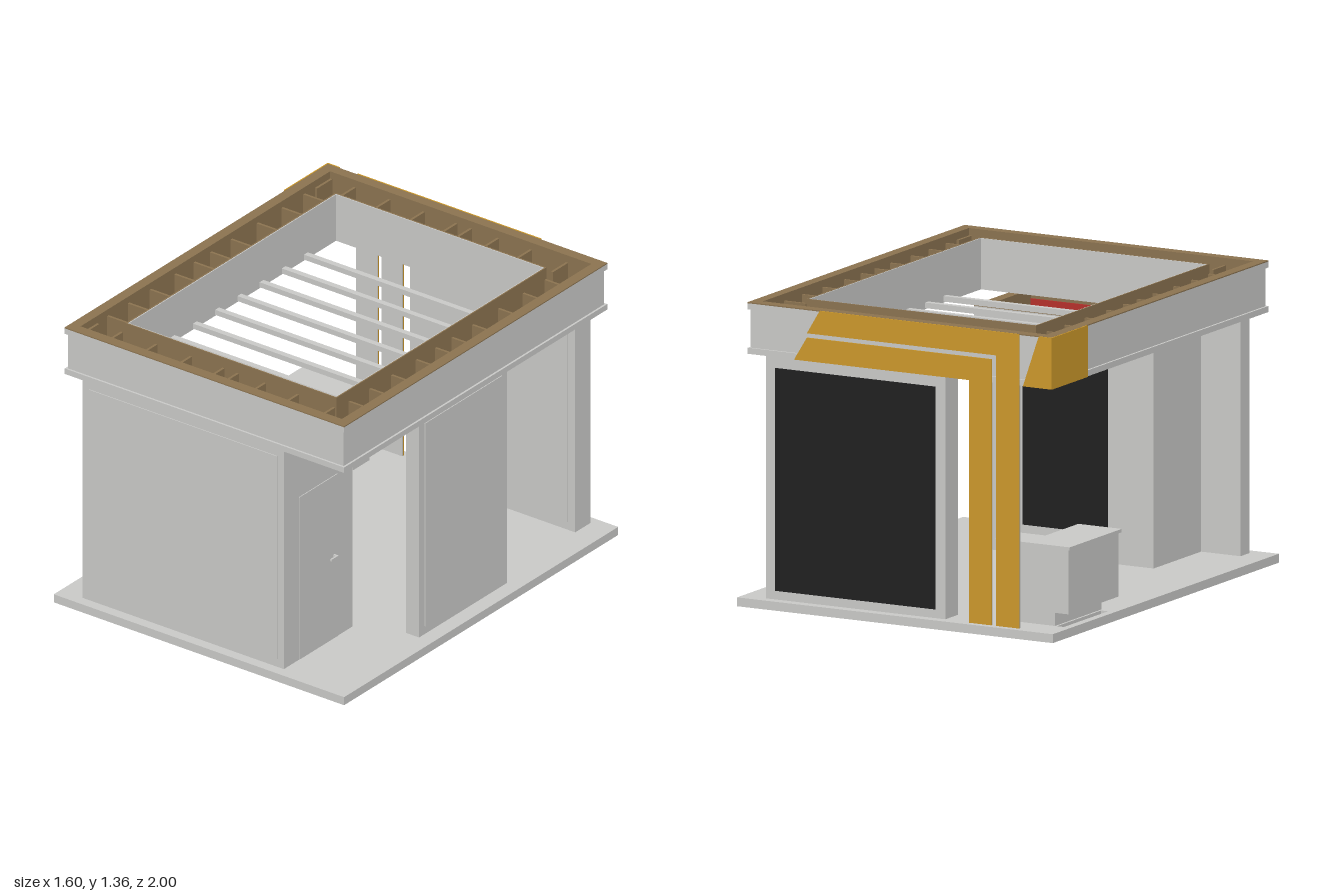
import * as THREE from 'three';

const mat = (name, color) => {
  const m = new THREE.MeshStandardMaterial({ color });
  m.name = name;
  return m;
};

export function createModel() {
  const root = new THREE.Group();
  const gray = mat('light gray', 0xc9c9c7), brown = mat('raw timber', 0x8b7350);
  const gold = mat('gold', 0xcc982b), black = mat('screen black', 0x202020), red = mat('red', 0xb5302b);

  const add = (name, geo, m) => {
    const mesh = new THREE.Mesh(geo, m);
    mesh.name = name;
    root.add(mesh);
    return mesh;
  };
  // Box given by its limits on each axis
  const box = (name, m, x0, x1, y0, y1, z0, z1) => {
    const g = new THREE.BoxGeometry(x1 - x0, y1 - y0, z1 - z0);
    g.translate((x0 + x1) / 2, (y0 + y1) / 2, (z0 + z1) / 2);
    return add(name, g, m);
  };
  const poly = pts => pts.map(([a, b]) => new THREE.Vector2(a, b));
  const rect = (x0, x1, z0, z1) => poly([[x0, -z1], [x1, -z1], [x1, -z0], [x0, -z0]]);
  // Horizontal plate with a rectangular hole
  const plate = (name, m, outer, hole, y0, y1) => {
    const s = new THREE.Shape(rect(...outer));
    s.holes.push(new THREE.Path(rect(...hole)));
    const g = new THREE.ExtrudeGeometry(s, { depth: y1 - y0, bevelEnabled: false });
    g.rotateX(-Math.PI / 2).translate(0, y0, 0);
    return add(name, g, m);
  };
  const ring = (name, m, ox, oz, ix, iz, y0, y1) =>
    plate(name, m, [-ox, ox, -oz, oz], [-ix, ix, -iz, iz], y0, y1);
  // Upright plate cut from an outline in x and y
  const upright = (name, m, pts, z, depth) => {
    const g = new THREE.ExtrudeGeometry(new THREE.Shape(poly(pts)), { depth, bevelEnabled: false });
    return add(name, g.translate(0, 0, z), m);
  };

  // Floor platform with a cable slot and a timber grid below
  const slot = [-0.765, -0.73, -0.84, -0.45];
  plate('floor', gray, [-0.8, 0.8, -1, 1], slot, 0.02, 0.04);
  plate('floorUnderside', brown, [-0.79, 0.79, -0.99, 0.99], slot, 0.014, 0.02);
  ring('floorEdge', gray, 0.8, 1, 0.79, 0.99, 0, 0.02);
  for (const x of [-0.78, -0.58, -0.4, -0.2, 0, 0.2, 0.4, 0.58, 0.78])
    box('floorJoist', brown, x - 0.009, x + 0.009, 0, 0.014, -0.99, 0.99);
  for (const z of [-0.98, -0.86, -0.6, -0.47, -0.22, -0.1, 0.16, 0.28, 0.54, 0.66, 0.86, 0.98])
    box('floorCrossJoist', brown, -0.79, 0.79, 0, 0.014, z - 0.009, z + 0.009);

  // Roof fascia: outer wall, trims and a hollow timber channel
  ring('fascia', gray, 0.76, 0.95, 0.724, 0.914, 1.13, 1.357);
  ring('fasciaLowerTrim', gray, 0.77, 0.96, 0.76, 0.95, 1.13, 1.157);
  ring('fasciaUpperTrim', gray, 0.77, 0.96, 0.76, 0.95, 1.33, 1.357);
  ring('fasciaCap', brown, 0.77, 0.96, 0.72, 0.91, 1.357, 1.362);
  ring('fasciaLining', brown, 0.724, 0.914, 0.72, 0.91, 1.14, 1.357);
  ring('soffit', gray, 0.724, 0.914, 0.57, 0.755, 1.13, 1.14);
  ring('channelFloor', brown, 0.72, 0.91, 0.575, 0.76, 1.14, 1.146);
  ring('innerFascia', gray, 0.575, 0.76, 0.57, 0.755, 1.14, 1.36);
  ring('innerFasciaLining', brown, 0.581, 0.766, 0.575, 0.76, 1.14, 1.361);
  for (const s of [-1, 1]) {
    for (const z of [-0.72, -0.56, -0.38, -0.19, -0.04, 0.08, 0.22, 0.4, 0.56, 0.71])
      box('sideRib', brown, s * 0.665 - 0.055, s * 0.665 + 0.055, 1.146, 1.33, z - 0.006, z + 0.006);
    for (const x of [-0.71, -0.58, -0.39, -0.2, -0.02, 0.06, 0.21, 0.39, 0.59, 0.71])
      box('endRib', brown, x - 0.006, x + 0.006, 1.146, 1.33, s * 0.85 - 0.055, s * 0.85 + 0.055);
  }

  // Slats across the roof opening
  for (let i = 0; i < 7; i++) {
    const z = -0.535 + i * 0.162;
    box('roofSlat', gray, -0.57, 0.57, 1.135, 1.16, z - 0.014, z + 0.014);
  }

  // Front wall and store room behind it
  box('frontWall', gray, -0.68, 0.43, 0.04, 1.13, 0.87, 0.95);
  box('frontWallPanel', gray, -0.64, 0.395, 0.08, 1.09, 0.95, 0.954);
  box('storeBackWall', gray, -0.48, 0.43, 0.04, 1.126, 0.45, 0.496);
  box('storeWallLeft', gray, 0.384, 0.43, 0.04, 1.126, 0.496, 0.87);
  box('storeWallRight', gray, -0.48, -0.434, 0.04, 1.126, 0.496, 0.87);
  plate('storeWallCap', brown, [-0.48, 0.43, 0.45, 0.87], [-0.43, 0.38, 0.5, 0.866], 1.126, 1.13);
  plate('storeLining', brown, [-0.434, 0.384, 0.496, 0.87], [-0.43, 0.38, 0.5, 0.866], 0.04, 1.126);
  box('storeRedPanel', red, -0.43, 0.38, 0.08, 1.09, 0.86, 0.866);
  box('storeScreen', black, -0.25, 0.18, 0.17, 0.93, 0.444, 0.45);

  // Store room door with lever handle
  box('door', gray, 0.43, 0.434, 0.042, 0.85, 0.56, 0.84);
  box('handleStem', gray, 0.434, 0.455, 0.45, 0.46, 0.585, 0.595);
  box('handleLever', gray, 0.448, 0.457, 0.45, 0.46, 0.585, 0.635);

  // Side wall
  box('sideWall', gray, 0.655, 0.726, 0.04, 1.13, -0.285, 0.355);
  box('sideWallPanel', gray, 0.726, 0.73, 0.08, 1.09, -0.245, 0.315);

  // Back wall with a large screen outside
  box('backWall', gray, -0.23, 0.68, 0.04, 1.13, -0.955, -0.845);
  box('backWallPanel', gray, -0.19, 0.64, 0.08, 1.09, -0.845, -0.841);
  box('backScreen', black, -0.18, 0.63, 0.08, 1.08, -0.961, -0.955);

  // Gold bands: posts that bend into slanted runs on the fascia
  const inner = [[-0.47, 0.04], [-0.357, 0.04], [-0.357, 1.13], [0.53, 1.13], [0.465, 1.235], [-0.47, 1.235]];
  const outer = [[-0.61, 0.04], [-0.494, 0.04], [-0.494, 1.255], [0.465, 1.255], [0.4, 1.362], [-0.61, 1.362]];
  upright('innerBand', gold, inner, -0.968, 0.006);
  upright('outerBand', gold, outer, -0.968, 0.006);
  box('innerPostBacking', gray, -0.47, -0.357, 0.04, 1.13, -0.962, -0.955);
  box('outerPostBacking', gray, -0.61, -0.494, 0.04, 1.13, -0.962, -0.955);
  upright('cornerBand', gold, [[-0.776, 1.13], [-0.63, 1.13], [-0.71, 1.362], [-0.776, 1.362]], -0.968, 0.006);
  box('cornerBandSide', gold, -0.777, -0.771, 1.13, 1.362, -0.967, -0.65);

  // L-shaped counter in the back corner
  box('counterPlinth', gray, -0.72, -0.6, 0.04, 0.1, -0.835, -0.43);
  box('counterBody', gray, -0.79, -0.59, 0.1, 0.388, -0.8, -0.4);
  box('counterReturnPlinth', gray, -0.72, -0.45, 0.04, 0.1, -0.84, -0.72);
  box('counterReturn', gray, -0.79, -0.43, 0.1, 0.388, -0.845, -0.69);
  box('counterTop', gray, -0.8, -0.58, 0.388, 0.403, -0.68, -0.39);
  box('counterReturnTop', gray, -0.8, -0.42, 0.388, 0.403, -0.85, -0.68);
  for (const z of [-0.6, -0.4])
    box('counterDrawer', gray, -0.59, -0.585, 0.305, 0.385, z - 0.197 + (z < -0.5 ? 0.1 : 0), z - 0.003);

  return root;
}
